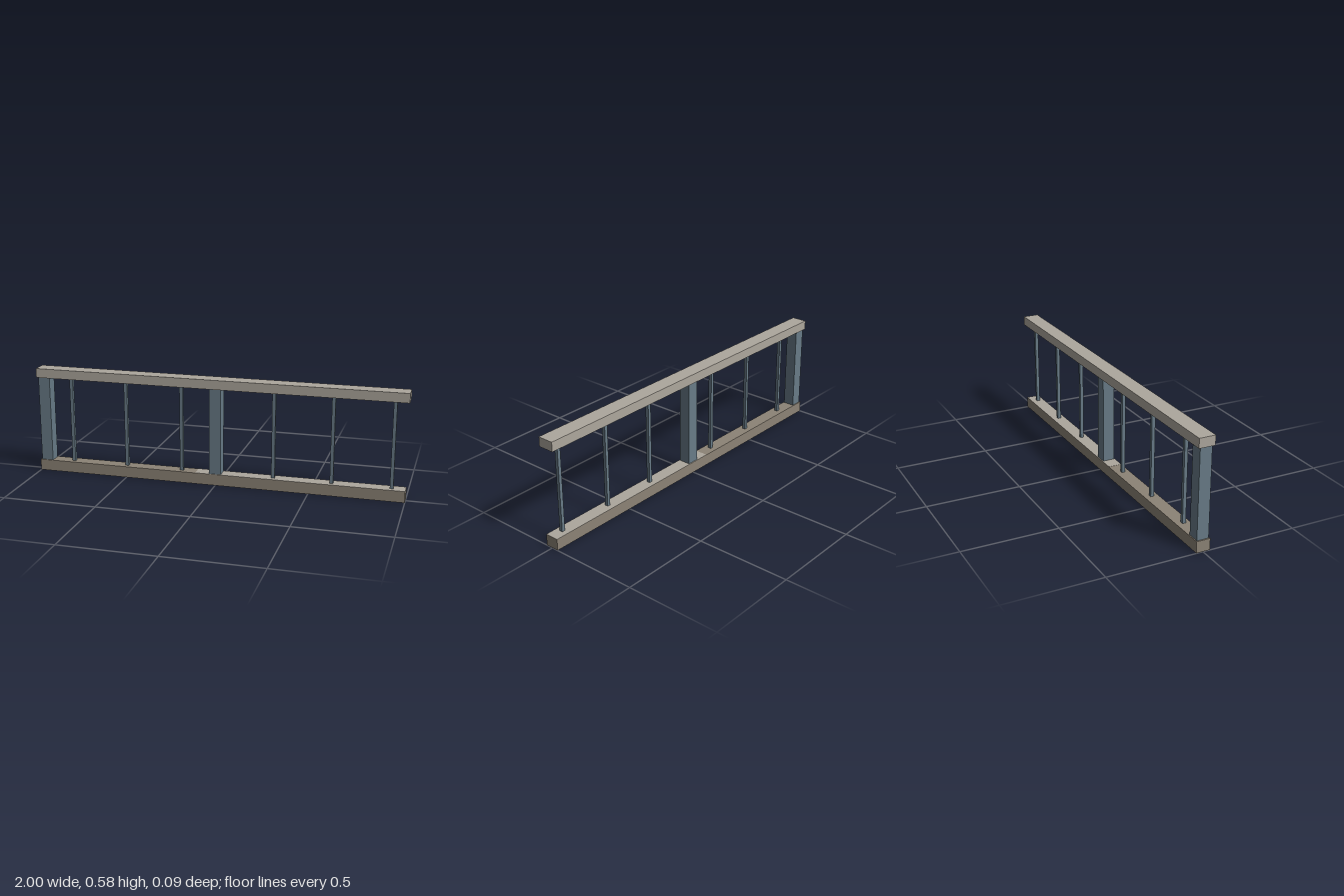
import * as THREE from 'three';

const paint = (name, color) => {
  const m = new THREE.MeshStandardMaterial({ color });
  m.name = name;
  return m;
};

// Box given by its min and max on each axis
function block(name, material, [x0, x1], [y0, y1], [z0, z1]) {
  const mesh = new THREE.Mesh(new THREE.BoxGeometry(x1 - x0, y1 - y0, z1 - z0), material);
  mesh.position.set((x0 + x1) / 2, (y0 + y1) / 2, (z0 + z1) / 2);
  mesh.name = name;
  return mesh;
}

export function createModel() {
  const lightStone = paint('lightStone', 0xada79d);
  const darkStone = paint('darkStone', 0x8c8376);
  const steel = paint('blueSteel', 0x687b87);

  const railing = new THREE.Group();
  railing.name = 'railing';

  // Rails, with a thin lighter cap along one half of the lower one
  railing.add(
    block('topRail', lightStone, [-1, 1], [0.528, 0.578], [-0.042, 0.043]),
    block('bottomRail', darkStone, [-1, 1], [0.001, 0.061], [-0.036, 0.037]),
    block('bottomRailCap', lightStone, [-0.11, 1], [0.061, 0.062], [-0.036, 0.037])
  );

  // Square posts run through the bottom rail down to the ground
  for (const x of [-0.961, -0.002]) {
    railing.add(block('post', steel, [x - 0.032, x + 0.032], [0, 0.528], [-0.031, 0.032]));
  }

  // Slim balusters, three in each bay
  for (const start of [-0.812, 0.308]) {
    for (let i = 0; i < 3; i++) {
      const x = start + i * 0.31;
      railing.add(block('baluster', steel, [x - 0.009, x + 0.009], [0.06, 0.528], [-0.006, 0.012]));
    }
  }
  return railing;
}
